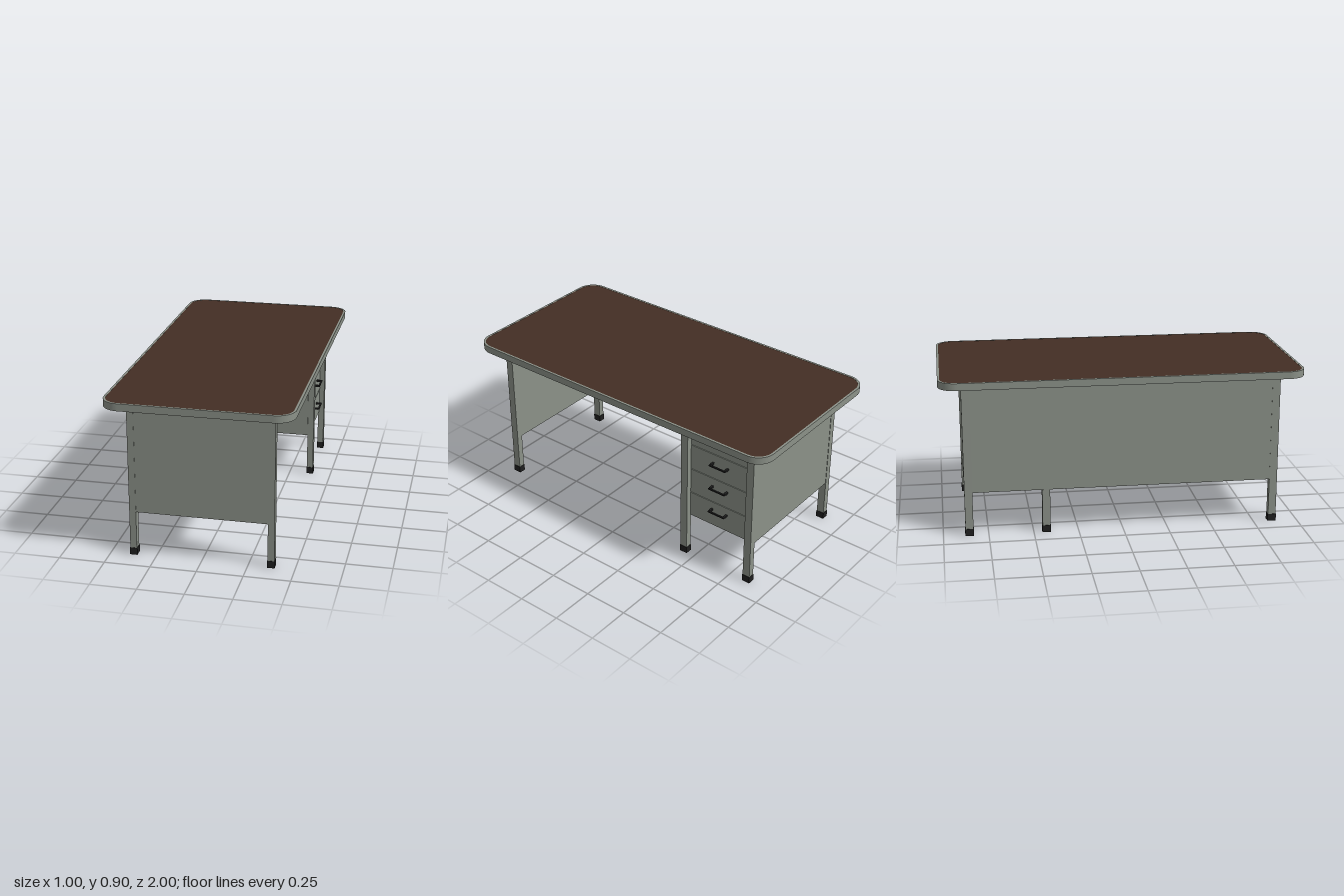
import * as THREE from 'three';

const paint = new THREE.MeshStandardMaterial({ color: 0x8b9188 });
paint.name = 'greyGreenPaint';
const brown = new THREE.MeshStandardMaterial({ color: 0x442e24 });
brown.name = 'brownLinoleum';
const black = new THREE.MeshStandardMaterial({ color: 0x1f1f1f });
black.name = 'blackPlastic';

// Rounded rectangle outline lying in the desktop plane
function roundedRect(path, hw, hl, r) {
  path.moveTo(hw, -hl + r);
  path.lineTo(hw, hl - r);
  path.absarc(hw - r, hl - r, r, 0, Math.PI / 2);
  path.absarc(-hw + r, hl - r, r, Math.PI / 2, Math.PI);
  path.absarc(-hw + r, -hl + r, r, Math.PI, Math.PI * 1.5);
  path.absarc(hw - r, -hl + r, r, Math.PI * 1.5, Math.PI * 2);
  return path;
}

export function createModel() {
  const desk = new THREE.Group();
  desk.name = 'desk';

  function add(name, geometry, material, parent = desk) {
    const mesh = new THREE.Mesh(geometry, material);
    mesh.name = name;
    parent.add(mesh);
    return mesh;
  }
  // Box given by its minimum and maximum on each axis
  function box(name, [x0, x1], [y0, y1], [z0, z1], material, parent) {
    const mesh = add(name, new THREE.BoxGeometry(x1 - x0, y1 - y0, z1 - z0), material, parent);
    mesh.position.set((x0 + x1) / 2, (y0 + y1) / 2, (z0 + z1) / 2);
    return mesh;
  }
  // Horizontal slab extruded between two heights
  function slab(name, shape, y0, y1, material) {
    const geo = new THREE.ExtrudeGeometry(shape, { depth: y1 - y0, bevelEnabled: false, curveSegments: 12 });
    geo.rotateX(-Math.PI / 2).translate(0, y0, 0);
    return add(name, geo, material);
  }

  // Desktop: painted rim around a brown writing surface
  const rim = roundedRect(new THREE.Shape(), 0.5, 1, 0.1);
  rim.holes.push(roundedRect(new THREE.Path(), 0.488, 0.988, 0.088));
  slab('desktopRim', rim, 0.86, 0.9, paint);
  slab('writingSurface', roundedRect(new THREE.Shape(), 0.488, 0.988, 0.088), 0.868, 0.899, brown);

  // Six legs with black feet; the middle rear one starts below the panel
  for (const x of [-0.373, 0.373]) {
    for (const z of [-0.856, -0.429, 0.856]) {
      const leg = new THREE.Group();
      leg.name = 'leg';
      desk.add(leg);
      const top = x < 0 && z === -0.429 ? 0.25 : 0.868;
      box('legPost', [x - 0.018, x + 0.018], [0.03, top], [z - 0.022, z + 0.022], paint, leg);
      box('foot', [x - 0.02, x + 0.02], [0, 0.04], [z - 0.024, z + 0.024], black, leg);
    }
  }

  // End panels and long modesty panel
  const panelY = [0.25, 0.868];
  box('frontEndPanel', [-0.355, 0.355], panelY, [0.834, 0.876], paint);
  box('backEndPanel', [-0.355, 0.355], panelY, [-0.876, -0.834], paint);
  box('modestyPanel', [-0.39, -0.355], panelY, [-0.834, 0.834], paint);

  // Drawer pedestal
  const pedestal = new THREE.Group();
  pedestal.name = 'drawerPedestal';
  desk.add(pedestal);
  box('pedestalBody', [-0.355, 0.354], panelY, [-0.834, -0.408], paint, pedestal);

  const edges = [0.866, 0.712, 0.558, 0.404, 0.25];
  const handleY = [0.81, 0.655, 0.505, 0.355];
  handleY.forEach((y, i) => {
    const drawer = new THREE.Group();
    drawer.name = 'drawer';
    pedestal.add(drawer);
    box('drawerFront', [0.354, 0.362], [edges[i + 1] + 0.002, edges[i] - 0.002], [-0.832, -0.453], paint, drawer);
    // Pull handle: bar on two posts
    box('handleBar', [0.387, 0.396], [y - 0.004, y + 0.004], [-0.7, -0.595], black, drawer);
    for (const z of [-0.695, -0.6]) {
      box('handlePost', [0.362, 0.388], [y - 0.005, y + 0.005], [z - 0.006, z + 0.006], black, drawer);
    }
  });

  // Triangular corner braces under the desktop
  function brace(x, z, length, drop) {
    const tri = new THREE.Shape();
    tri.moveTo(0, 0);
    tri.lineTo(length, 0);
    tri.lineTo(0, -drop);
    const geo = new THREE.ExtrudeGeometry(tri, { depth: 0.008, bevelEnabled: false });
    add('cornerBrace', geo.rotateY(-Math.PI / 2), black).position.set(x, 0.868, z);
  }
  brace(-0.34, 0.834, -0.05, 0.045);
  brace(-0.34, -0.408, 0.055, 0.03);
  brace(0.372, -0.451, -0.016, 0.03);
  brace(0.372, -0.834, 0.016, 0.03);

  return desk;
}
